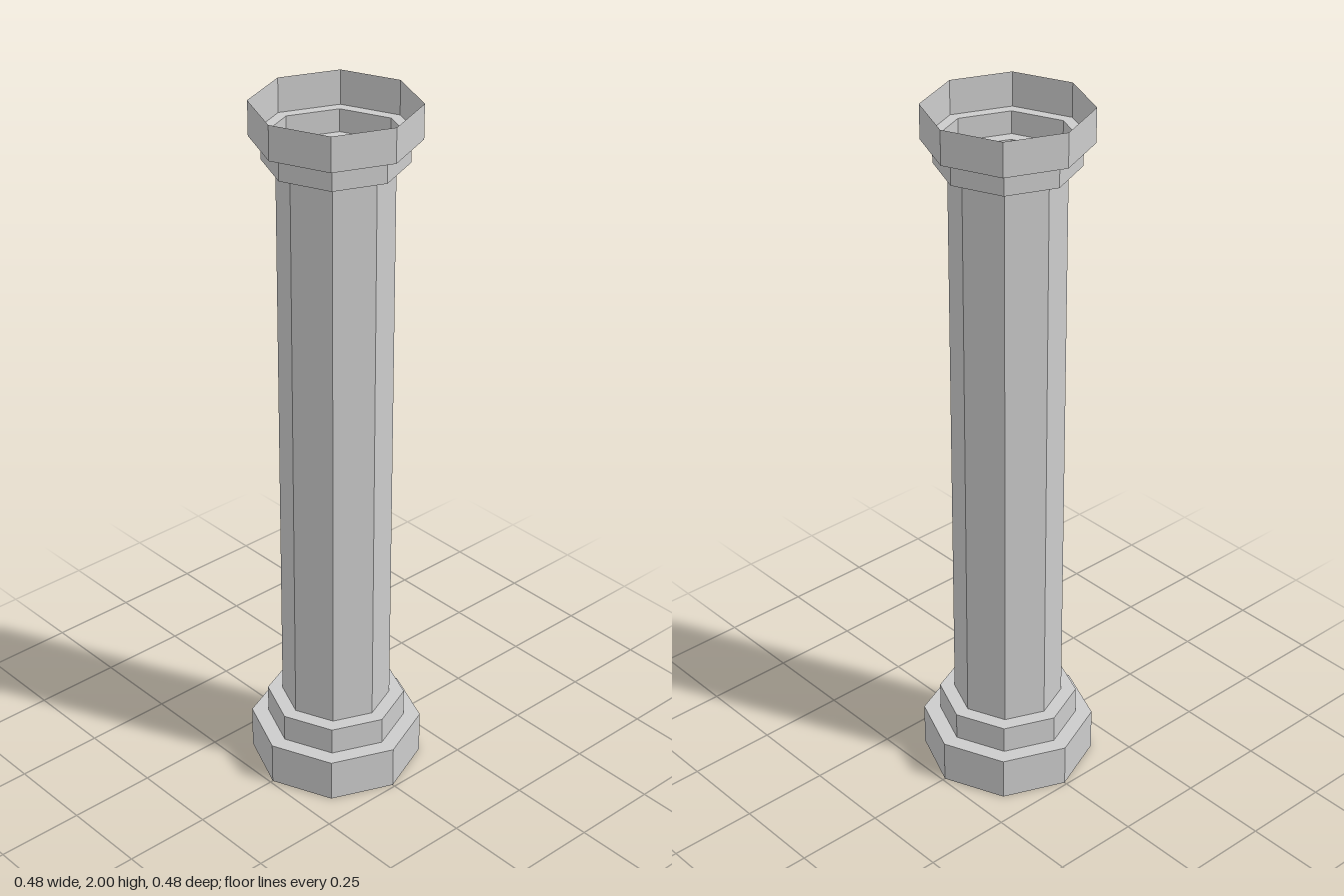
import * as THREE from 'three';

const SIDES = 8;

export function createModel() {
  const group = new THREE.Group();
  const material = new THREE.MeshStandardMaterial({
    color: 0xcccccc,
    flatShading: true,
    side: THREE.DoubleSide,
  });

  // Thin octagonal shell turned from a [radius, height] profile, corners on the axes
  const addShell = (name, profile) => {
    const points = profile.map(([r, y]) => new THREE.Vector2(r, y));
    const mesh = new THREE.Mesh(new THREE.LatheGeometry(points, SIDES), material);
    mesh.name = name;
    group.add(mesh);
  };

  // Stepped foot, open underneath
  addShell('base', [[0.242, 0], [0.242, 0.125], [0.195, 0.125], [0.195, 0.205], [0.153, 0.205]]);

  // Hollow shaft, open at both ends
  addShell('shaft', [[0.153, 0.205], [0.153, 1.842]]);

  // Stepped head, open on top
  addShell('capital', [[0.153, 1.842], [0.19, 1.842], [0.19, 1.905], [0.221, 1.905], [0.221, 2]]);

  return group;
}
